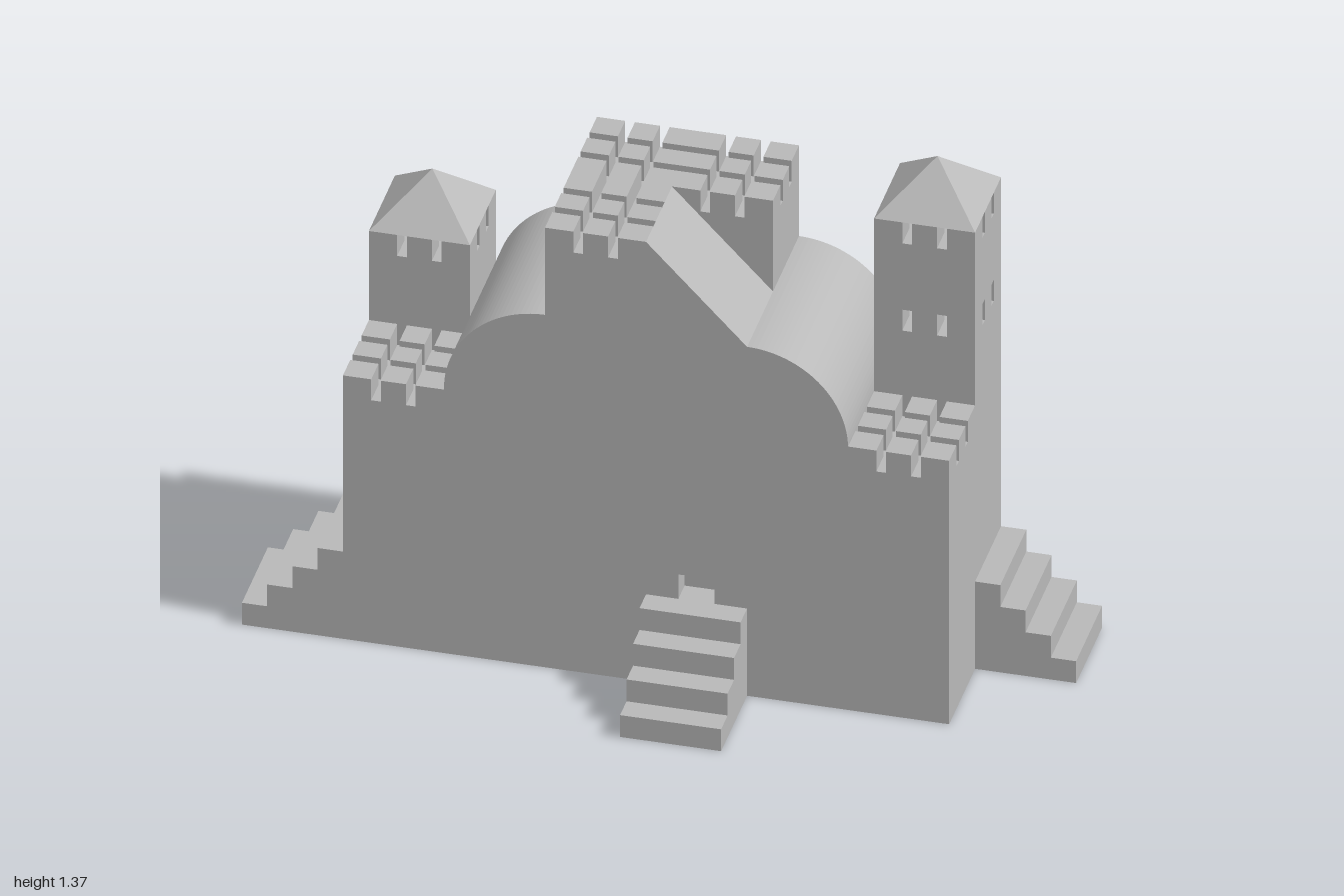
import * as THREE from 'three';

const U = 0.25; // plan module
const NOTCH = 0.06;
const stone = new THREE.MeshStandardMaterial({ color: 0xb8b8b8 });
stone.name = 'stone';

function add(parent, geometry, name, x = 0, y = 0, z = 0) {
  const mesh = new THREE.Mesh(geometry, stone);
  mesh.name = name;
  mesh.position.set(x, y, z);
  parent.add(mesh);
  return mesh;
}

const extrude = (shape, depth) =>
  new THREE.ExtrudeGeometry(shape, { depth, bevelEnabled: false, curveSegments: 16 });

// 3 x 3 merlons parted by narrow grooves, standing on a cell whose top is at y
function battlement(parent, x, y, z, name = 'battlement') {
  const group = new THREE.Group();
  group.name = name;
  const spans = [[-0.125, -0.055], [-0.031, 0.031], [0.055, 0.125]];
  for (const [x0, x1] of spans) for (const [z0, z1] of spans) {
    add(group, new THREE.BoxGeometry(x1 - x0, NOTCH, z1 - z0), 'merlon',
      (x0 + x1) / 2, -NOTCH / 2, (z0 + z1) / 2);
  }
  group.position.set(x, y, z);
  parent.add(group);
}

function block(parent, x, y0, y1, z, name) {
  add(parent, new THREE.BoxGeometry(U, y1 - y0, U), name, x, (y0 + y1) / 2, z);
}

// Four-sided roof, flat shaded
function roof(parent, x, y, z) {
  const geometry = new THREE.ConeGeometry(U / Math.SQRT2, 0.12, 4, 1).toNonIndexed();
  geometry.rotateY(Math.PI / 4);
  geometry.computeVertexNormals();
  add(parent, geometry, 'towerRoof', x, y + 0.06, z);
}

// Castle silhouette for one row; the front row has a slope beside the keep
function wallShape(front) {
  const keep = 1.26 - NOTCH;
  const s = new THREE.Shape();
  const left = (front ? 0.755 : 1.01) - NOTCH;
  const right = (front ? 0.755 : 1.0) - NOTCH;
  s.moveTo(-0.75, 0);
  s.lineTo(-0.75, left);
  s.lineTo(-0.5, left);
  s.lineTo(-0.5, 0.76);
  s.absarc(-0.25, 0.76, 0.25, Math.PI, Math.PI / 2, true);
  s.lineTo(-0.25, keep);
  s.lineTo(0, keep);
  if (front) {
    s.lineTo(0, 1.26);
    s.lineTo(0.25, 1.0);
  } else {
    s.lineTo(0.25, keep);
    s.lineTo(0.25, 1.0);
  }
  s.absarc(0.25, 0.75, 0.25, Math.PI / 2, 0, true);
  s.lineTo(0.5, right);
  s.lineTo(0.75, right);
  s.lineTo(0.75, 0);
  s.closePath();
  return s;
}

// Wall row with a shallow doorway in its outer skin
function wallRow(parent, front) {
  const skin = 0.06, doorX = front ? 0.125 : -0.125;
  const name = front ? 'frontWall' : 'backWall';
  const outer = wallShape(front);
  const door = new THREE.Path();
  door.moveTo(doorX - 0.045, 0.25);
  door.lineTo(doorX + 0.045, 0.25);
  door.lineTo(doorX + 0.045, 0.32);
  door.lineTo(doorX - 0.045, 0.32);
  door.closePath();
  outer.holes.push(door);
  add(parent, extrude(wallShape(front), U - skin), name, 0, 0, front ? 0 : skin - U);
  add(parent, extrude(outer, skin), name + 'Skin', 0, 0, front ? U - skin : -U);
}

// Stair or ramp falling along +x, then turned about y
function descent(parent, name, steps, x, z, turn) {
  const s = new THREE.Shape();
  s.moveTo(0, 0);
  s.lineTo(0, U);
  for (let i = 0; i < steps; i++) {
    s.lineTo((i + 1) * U / steps, U - i * U / steps);
    s.lineTo((i + 1) * U / steps, U - (i + 1) * U / steps);
  }
  if (!steps) s.lineTo(U, 0);
  s.closePath();
  const geometry = extrude(s, U);
  geometry.translate(0, 0, -U / 2);
  add(parent, geometry, name, x, 0, z).rotation.y = turn;
}

export function createModel() {
  const castle = new THREE.Group();
  castle.name = 'castle';

  wallRow(castle, true);
  wallRow(castle, false);

  // Keep battlements and low front towers
  battlement(castle, -0.125, 1.26, 0.125, 'keepBattlement');
  battlement(castle, -0.125, 1.26, -0.125, 'keepBattlement');
  battlement(castle, 0.125, 1.26, -0.125, 'keepBattlement');
  for (const side of [-1, 1]) battlement(castle, side * 0.625, 0.755, 0.125, 'frontTowerBattlement');

  // Short roofed tower
  battlement(castle, -0.625, 1.01, -0.125, 'shortTowerOpenings');
  roof(castle, -0.625, 1.01, -0.125);

  // Tall roofed tower with an extra storey
  battlement(castle, 0.625, 1.0, -0.125, 'tallTowerOpenings');
  block(castle, 0.625, 1.0, 1.25 - NOTCH, -0.125, 'tallTowerStorey');
  battlement(castle, 0.625, 1.25, -0.125, 'tallTowerOpenings');
  roof(castle, 0.625, 1.25, -0.125);

  // Stairs on all four sides and a ramp at the back
  descent(castle, 'leftStair', 4, 0.75, -0.125, 0);
  descent(castle, 'rightStair', 4, -0.75, 0.125, Math.PI);
  descent(castle, 'frontStair', 4, 0.125, 0.25, -Math.PI / 2);
  descent(castle, 'backStair', 4, -0.125, -0.25, Math.PI / 2);
  descent(castle, 'backRamp', 0, 0.375, -0.25, Math.PI / 2);

  return castle;
}
